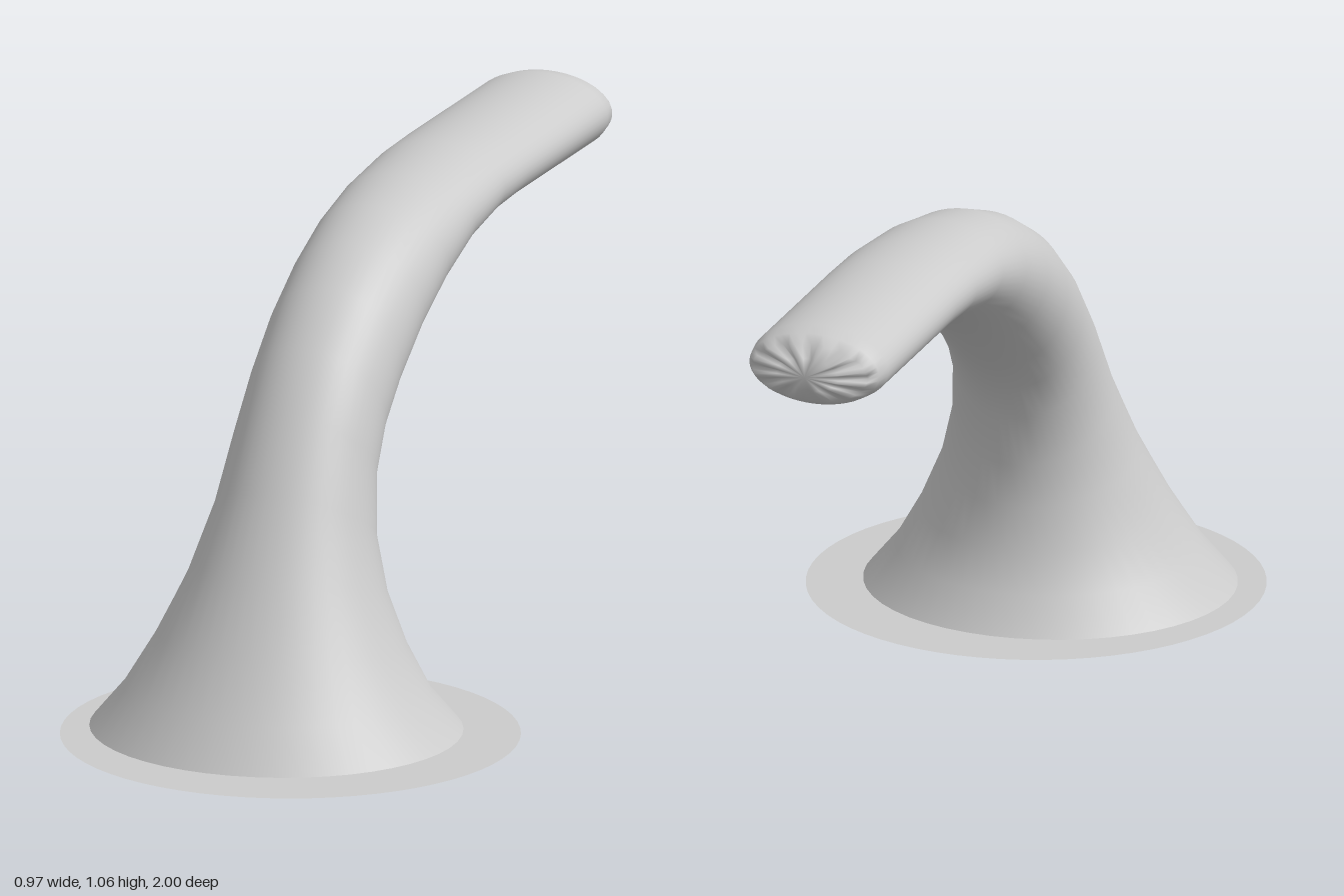
import * as THREE from 'three';

const SEGMENTS = 48;
const CENTRE_X = -0.032;

// Each station: outer z, outer y, inner z, inner y, half width, flute depth
const STATIONS = [
  [0.89, 0.01, 0.14, 0.01, 0.397],
  [0.82, 0.10, 0.20, 0.085, 0.328],
  [0.74, 0.22, 0.235, 0.17, 0.268],
  [0.65, 0.37, 0.257, 0.26, 0.212],
  [0.56, 0.53, 0.262, 0.35, 0.174],
  [0.47, 0.68, 0.25, 0.46, 0.157],
  [0.37, 0.80, 0.21, 0.54, 0.152],
  [0.25, 0.90, 0.15, 0.61, 0.152],
  [0.13, 0.965, 0.03, 0.71, 0.152],
  [0.00, 1.013, -0.10, 0.79, 0.152],
  [-0.15, 1.04, -0.24, 0.855, 0.152],
  [-0.35, 1.058, -0.36, 0.883, 0.152],
  [-0.48, 1.06, -0.48, 0.89, 0.152],
  [-0.90, 1.06, -0.90, 0.89, 0.152],
  [-0.94, 1.053, -0.94, 0.897, 0.145],
  [-0.965, 1.038, -0.965, 0.912, 0.128, 0.006],
  [-0.982, 1.01, -0.982, 0.94, 0.07, 0.007],
];

// Elliptical sections skinned into one smooth body with a fluted end
function loftGeometry() {
  const positions = [];
  const index = [];
  for (const [oz, oy, iz, iy, halfWidth, flute = 0] of STATIONS) {
    for (let j = 0; j < SEGMENTS; j++) {
      const t = (j / SEGMENTS) * Math.PI * 2;
      const c = Math.cos(t) / 2;
      positions.push(
        CENTRE_X + halfWidth * Math.sin(t),
        (oy + iy) / 2 + (oy - iy) * c,
        (oz + iz) / 2 + (oz - iz) * c + flute * Math.cos(12 * t)
      );
    }
  }
  const last = (STATIONS.length - 1) * SEGMENTS;
  const tip = last + SEGMENTS;
  positions.push(CENTRE_X, 0.975, -1);
  for (let i = 0; i < STATIONS.length - 1; i++) {
    for (let j = 0; j < SEGMENTS; j++) {
      const a = i * SEGMENTS + j;
      const b = i * SEGMENTS + ((j + 1) % SEGMENTS);
      index.push(a, b, a + SEGMENTS, b, b + SEGMENTS, a + SEGMENTS);
    }
  }
  for (let j = 0; j < SEGMENTS; j++) {
    index.push(last + j, last + ((j + 1) % SEGMENTS), tip);
  }
  const geometry = new THREE.BufferGeometry();
  geometry.setAttribute('position', new THREE.Float32BufferAttribute(positions, 3));
  geometry.setIndex(index);
  geometry.computeVertexNormals();
  return geometry;
}

export function createModel() {
  const group = new THREE.Group();
  const grey = new THREE.MeshStandardMaterial({ color: 0xcccccc });
  const thinGrey = new THREE.MeshStandardMaterial({ color: 0xcccccc, side: THREE.DoubleSide });

  // Flared foot sweeping up into the flat arm
  const hook = new THREE.Mesh(loftGeometry(), grey);
  hook.name = 'curvedArm';
  group.add(hook);

  // Thin mounting disc
  const disc = new THREE.Mesh(new THREE.CircleGeometry(0.485, 64), thinGrey);
  disc.name = 'baseDisc';
  disc.rotation.x = -Math.PI / 2;
  disc.position.z = 0.515;
  group.add(disc);

  return group;
}
